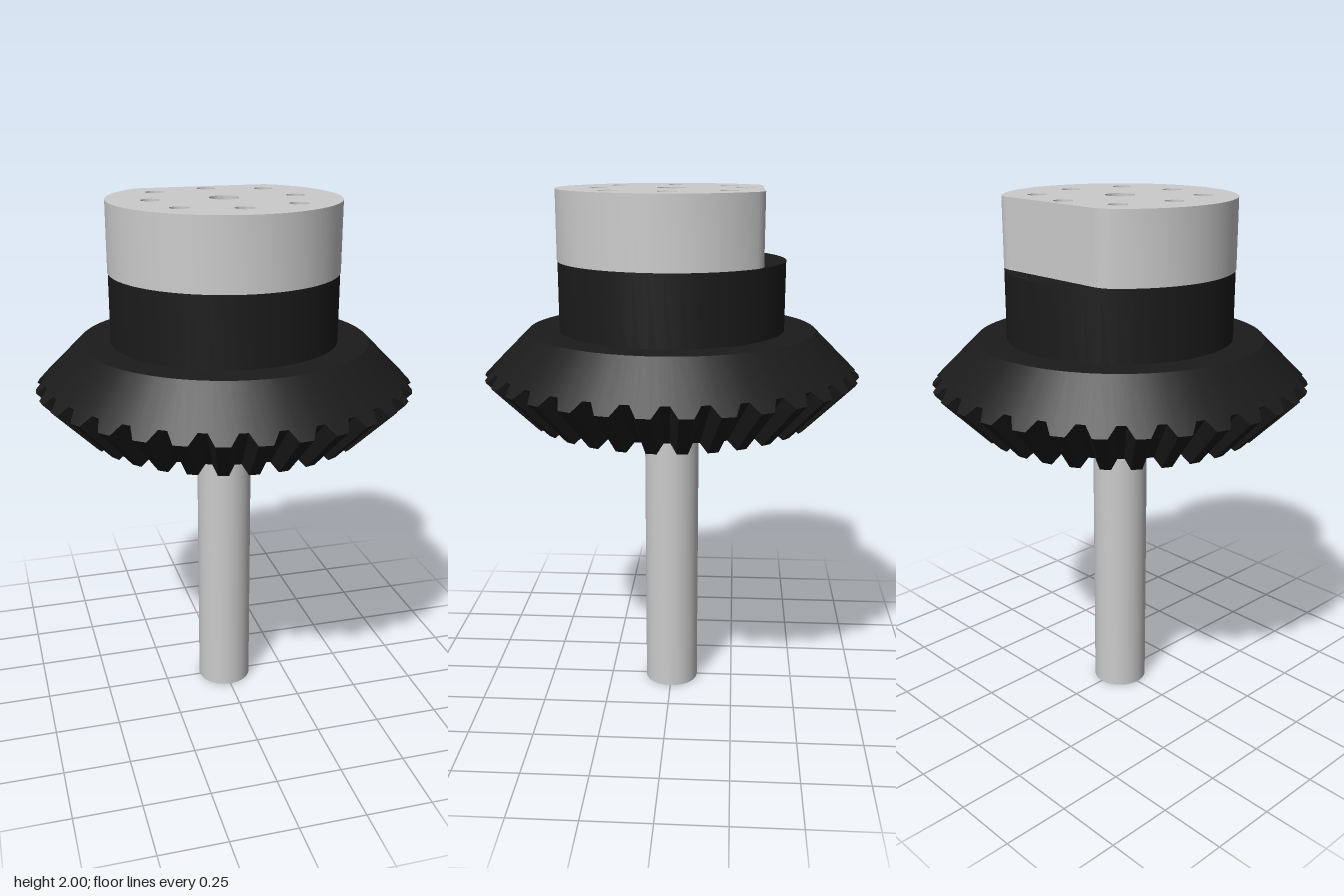
import * as THREE from 'three';
import { toCreasedNormals } from 'three/addons/utils/BufferGeometryUtils.js';

const BORE = 0.055;

// Plate standing between two heights, with round holes [x, y, radius]
function plate(shape, holes, y0, y1) {
  for (const [x, y, r] of holes) {
    shape.holes.push(new THREE.Path().absarc(x, y, r, 0, Math.PI * 2, true));
  }
  const g = new THREE.ExtrudeGeometry(shape, { depth: y1 - y0, bevelEnabled: false, curveSegments: 24 });
  g.rotateX(-Math.PI / 2).translate(0, y0, 0);
  return toCreasedNormals(g, 0.5);
}

// Four holes on a ring
function ring(radius, start, r) {
  return [0, 1, 2, 3].map(i => {
    const a = start + i * Math.PI / 2;
    return [radius * Math.cos(a), radius * Math.sin(a), r];
  });
}

// Closed tube-like solid of revolution with a bore
function sleeve(inner, outer, y0, y1) {
  const pts = [[inner, y0], [outer, y0], [outer, y1], [inner, y1], [inner, y0]];
  return toCreasedNormals(new THREE.LatheGeometry(pts.map(p => new THREE.Vector2(...p)), 48), 0.5);
}

// Bevel teeth: one radial cross-section per step, each either at root or at tip
function bevelTeeth(count) {
  const steps = [[-0.5, 0], [-0.38, 0], [-0.18, 1], [0.18, 1], [0.38, 0]];
  const mix = THREE.MathUtils.lerp;
  const pos = [], index = [];
  const n = 6, total = count * steps.length;
  for (let i = 0; i < count; i++) {
    for (const [u, t] of steps) {
      const a = (i + u) * Math.PI * 2 / count + THREE.MathUtils.degToRad(4);
      const section = [
        [0.42, 1.48], [0.545, 1.48],
        [mix(0.68, 0.715, t), mix(1.345, 1.31, t)],
        [mix(0.515, 0.545, t), mix(1.17, 1.14, t)],
        [0.46, 1.225], [0.42, 1.23],
      ];
      for (const [r, y] of section) pos.push(r * Math.cos(a), y, r * Math.sin(a));
    }
  }
  for (let i = 0; i < total; i++) {
    const p = i * n, q = ((i + 1) % total) * n;
    for (let j = 0; j < n - 1; j++) {
      index.push(p + j, q + j, p + j + 1, q + j, q + j + 1, p + j + 1);
    }
  }
  const g = new THREE.BufferGeometry();
  g.setAttribute('position', new THREE.Float32BufferAttribute(pos, 3));
  g.setIndex(index);
  return toCreasedNormals(g, 0.3);
}

export function createModel() {
  const model = new THREE.Group();
  const grey = new THREE.MeshStandardMaterial({ color: 0xcccccc });
  const black = new THREE.MeshStandardMaterial({ color: 0x1b1b1b, side: THREE.DoubleSide });
  const add = (name, geometry, material, parent = model) => {
    const mesh = new THREE.Mesh(geometry, material);
    mesh.name = name;
    parent.add(mesh);
  };
  const boltHoles = ring(0.301, Math.PI / 4, 0.035);
  const pinHoles = ring(0.272, 0, 0.035);

  // Hollow shaft and its collar under the gear
  add('shaft', sleeve(BORE, 0.106, 0, 1.73), grey);
  add('collar', sleeve(0.1, 0.165, 1.145, 1.24), grey);

  // Bevel gear: drilled hub plus toothed rim
  const gear = new THREE.Group();
  gear.name = 'bevelGear';
  model.add(gear);
  const hub = new THREE.Shape().absarc(0, 0, 0.428, 0, Math.PI * 2);
  add('gearHub', plate(hub, [[0, 0, 0.104], ...boltHoles], 1.23, 1.74), black, gear);
  add('gearTeeth', bevelTeeth(32), black, gear);

  // Cap: round plate with a flat at the back and softened corners
  const cap = new THREE.Shape();
  cap.absarc(0, 0, 0.43, Math.PI - 0.82, Math.PI * 2 + 0.82);
  cap.quadraticCurveTo(0.265, 0.34, 0.225, 0.34);
  cap.lineTo(-0.225, 0.34);
  cap.quadraticCurveTo(-0.265, 0.34, -0.43 * Math.cos(0.82), 0.43 * Math.sin(0.82));
  add('cap', plate(cap, [[0, 0, BORE], ...boltHoles, ...pinHoles], 1.74, 2), grey);

  // Small square key inside the bore
  add('squareKey', new THREE.BoxGeometry(0.052, 0.24, 0.052).translate(0, 1.865, 0), grey);

  return model;
}
